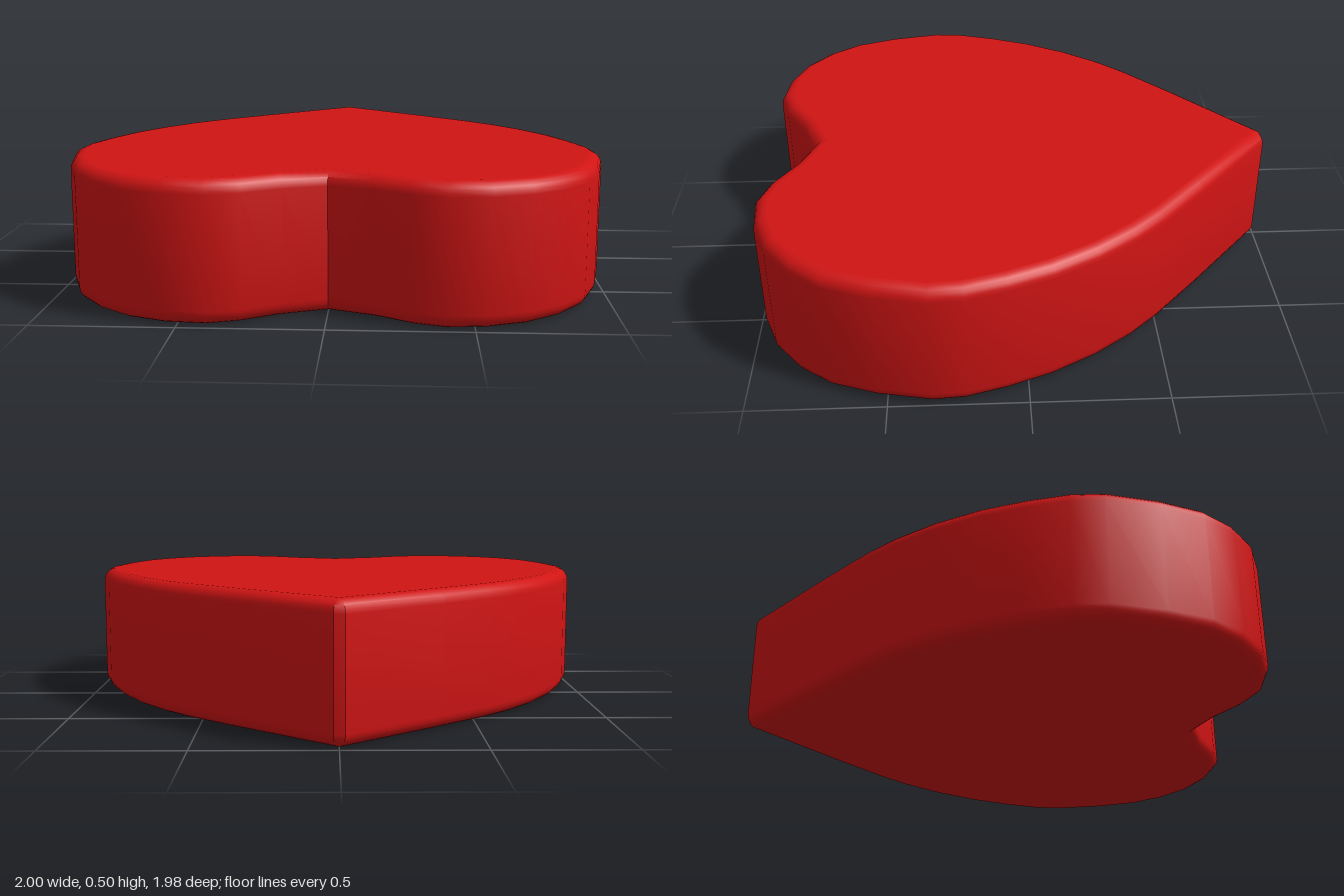
import * as THREE from 'three';
import { toCreasedNormals } from 'three/addons/utils/BufferGeometryUtils.js';

const HEIGHT = 0.5;
const BEVEL = 0.05;

// Half of the heart outline as (x, z), from the front notch round to the back tip
const HALF = [
  [0, 0.81], [0.15, 0.87], [0.28, 0.95], [0.4, 0.99], [0.55, 0.975], [0.69, 0.92],
  [0.81, 0.825], [0.9, 0.705], [0.96, 0.54], [1, 0.34], [0.99, 0.22], [0.945, 0.07],
  [0.88, -0.09], [0.785, -0.255], [0.675, -0.4], [0.57, -0.51], [0.375, -0.685], [0.02, -0.99],
];

function heartShape() {
  const right = HALF.map(([x, z]) => new THREE.Vector2(x, -z));
  const left = HALF.slice(1).reverse().map(([x, z]) => new THREE.Vector2(-x, -z));
  return new THREE.Shape([...right, ...left]);
}

function heartGeometry() {
  const solid = new THREE.ExtrudeGeometry(heartShape(), {
    depth: HEIGHT - 2 * BEVEL,
    bevelThickness: BEVEL,
    bevelSize: BEVEL,
    bevelOffset: -BEVEL,
    bevelSegments: 5,
  });
  solid.rotateX(-Math.PI / 2).translate(0, BEVEL, 0);

  // Smooth walls and rims, sharp at the notch and the tip
  const geometry = toCreasedNormals(solid, 0.6);

  // Keep the top and bottom faces evenly flat
  const { position, normal } = geometry.attributes;
  for (let i = 0; i < position.count; i += 3) {
    const ys = [0, 1, 2].map((k) => position.getY(i + k));
    const top = ys.every((y) => y > HEIGHT - 1e-4);
    const bottom = ys.every((y) => y < 1e-4);
    if (!top && !bottom) continue;
    for (let k = 0; k < 3; k++) normal.setXYZ(i + k, 0, top ? 1 : -1, 0);
  }
  return geometry;
}

export function createModel() {
  const group = new THREE.Group();
  group.name = 'heart';
  const heart = new THREE.Mesh(heartGeometry(), new THREE.MeshStandardMaterial({ color: 0xd01414 }));
  heart.name = 'heartBody';
  group.add(heart);
  return group;
}
